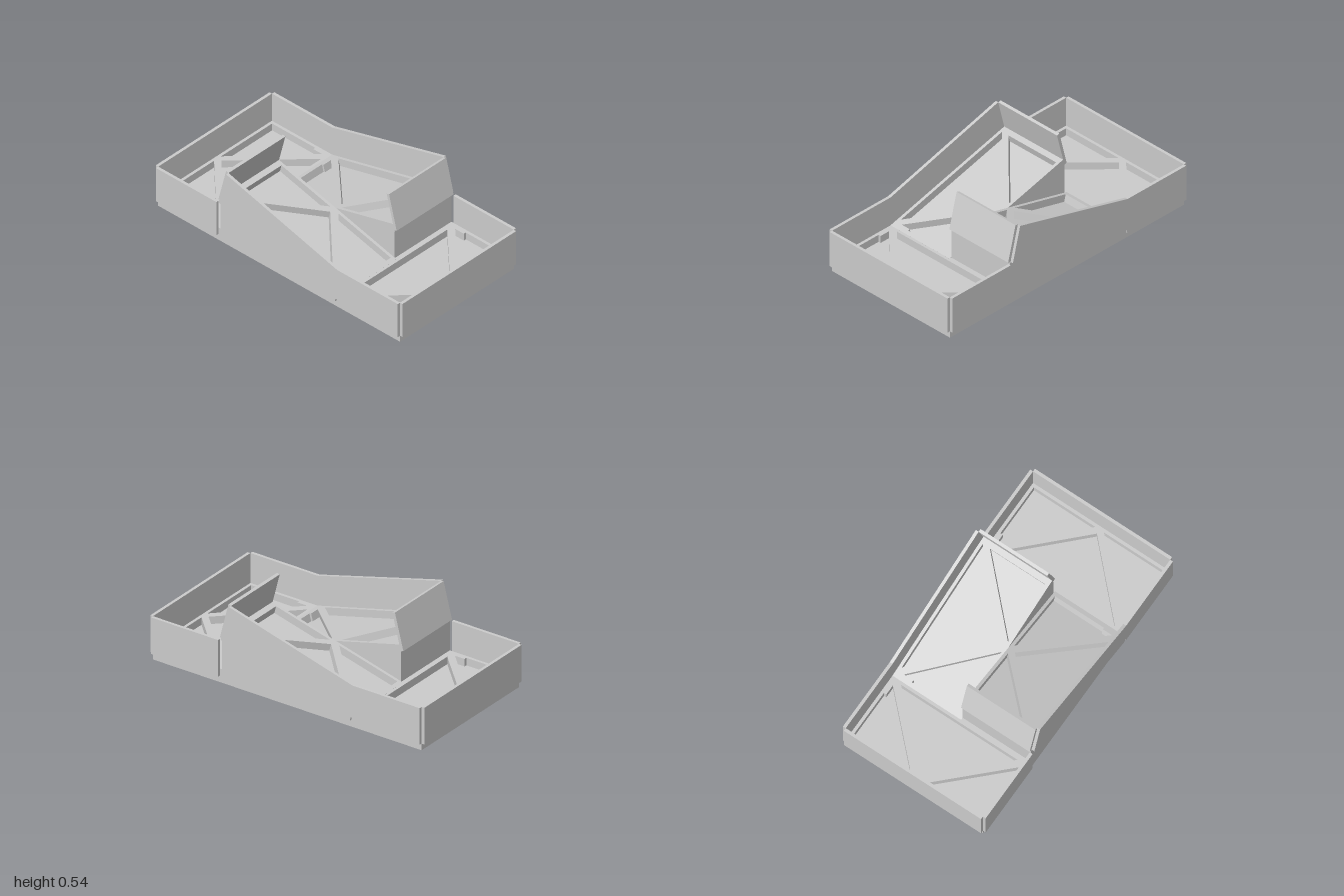
import * as THREE from 'three';

const W = 0.492;      // half width of the tray floor
const T = 0.02;       // wall thickness
const FLOOR = 0.09;   // top of the flat floors
const POCKET = 0.05;  // depth of the floor pockets
const TILT = Math.atan(0.258);

const material = new THREE.MeshStandardMaterial({ color: 0xcccccc, flatShading: true });

function add(parent, name, geometry) {
  const mesh = new THREE.Mesh(geometry, material);
  mesh.name = name;
  parent.add(mesh);
  return mesh;
}

// Box given by its two opposite corners
function box(parent, name, a, b) {
  const g = new THREE.BoxGeometry(b[0] - a[0], b[1] - a[1], b[2] - a[2]);
  g.translate((a[0] + b[0]) / 2, (a[1] + b[1]) / 2, (a[2] + b[2]) / 2);
  return add(parent, name, g);
}

const toPoints = (list) => list.map(([x, y]) => new THREE.Vector2(x, y));

// Upright plate: outline in x, y, pushed along z
function upright(parent, name, outline, z, depth) {
  const g = new THREE.ExtrudeGeometry(new THREE.Shape(toPoints(outline)), { depth, bevelEnabled: false });
  return add(parent, name, g.translate(0, 0, z));
}

// Lying rib plate: outline and pockets in x, z, with its top at y = 0
function ribPlate(parent, name, outline, pockets) {
  const shape = new THREE.Shape(toPoints(outline));
  for (const p of pockets) shape.holes.push(new THREE.Path(toPoints(p)));
  const g = new THREE.ExtrudeGeometry(shape, { depth: POCKET, bevelEnabled: false });
  return add(parent, name, g.rotateX(Math.PI / 2));
}

// One half of the tray; the other is the same turned by 180 degrees
function makeHalf() {
  const half = new THREE.Group();

  // Low side wall that rises along the ramp
  upright(half, 'rampSideWall', [
    [-0.472, 0.296], [0.472, 0.05], [0.48, 0.08], [0.487, 0.045],
    [0.98, 0.045], [0.98, 0.29], [0.49, 0.29], [-0.411, 0.535],
  ], W, T);
  box(half, 'shortSideWall', [-0.98, 0.045, W], [-0.49, 0.29, W + T]);
  box(half, 'endWall', [0.98, 0.045, -W], [1, 0.29, W]);

  // Solid wedge carrying the ramp
  upright(half, 'rampWedge', [[-0.475, 0.03], [0.485, 0.03], [0.485, 0.04], [-0.475, 0.288]], 0, W);

  // Tilted ramp with its ribbed floor and high end panel
  const ramp = new THREE.Group();
  ramp.name = 'ramp';
  ramp.position.y = 0.217;
  ramp.rotation.z = -TILT;
  half.add(ramp);
  ribPlate(ramp, 'rampFloor', [[-0.477, 0], [0.507, 0], [0.507, W], [-0.477, W]], [
    [[-0.437, 0.02], [-0.03, 0.02], [-0.437, 0.42]],
    [[-0.437, 0.472], [0, 0.05], [0.437, 0.472]],
    [[0.04, 0.02], [0.478, 0.02], [0.478, 0.372], [0.465, 0.372], [0.465, 0.438]],
  ]);
  box(ramp, 'rampEndPanel', [-0.497, -0.042, 0], [-0.477, 0.205, W]);

  // Ribbed flat floor at the end of the tray
  const corner = (s) => [
    [0.96, 0.472 * s], [0.61, 0.472 * s], [0.61, 0.455 * s], [0.54, 0.455 * s], [0.96, 0.03 * s],
  ];
  const flat = ribPlate(half, 'flatFloor', [[0.475, -W], [0.98, -W], [0.98, W], [0.475, W]], [
    corner(1), corner(-1),
    [[0.51, -0.418], [0.93, 0], [0.51, 0.418]],
  ]);
  flat.position.y = FLOOR;
  return half;
}

export function createModel() {
  const model = new THREE.Group();
  model.name = 'rampTray';
  box(model, 'basePlate', [-0.98, 0, -W], [0.98, FLOOR - POCKET, W]);
  for (let i = 0; i < 2; i++) {
    const half = makeHalf();
    half.name = i ? 'backHalf' : 'frontHalf';
    half.rotation.y = i * Math.PI;
    model.add(half);
  }
  return model;
}
